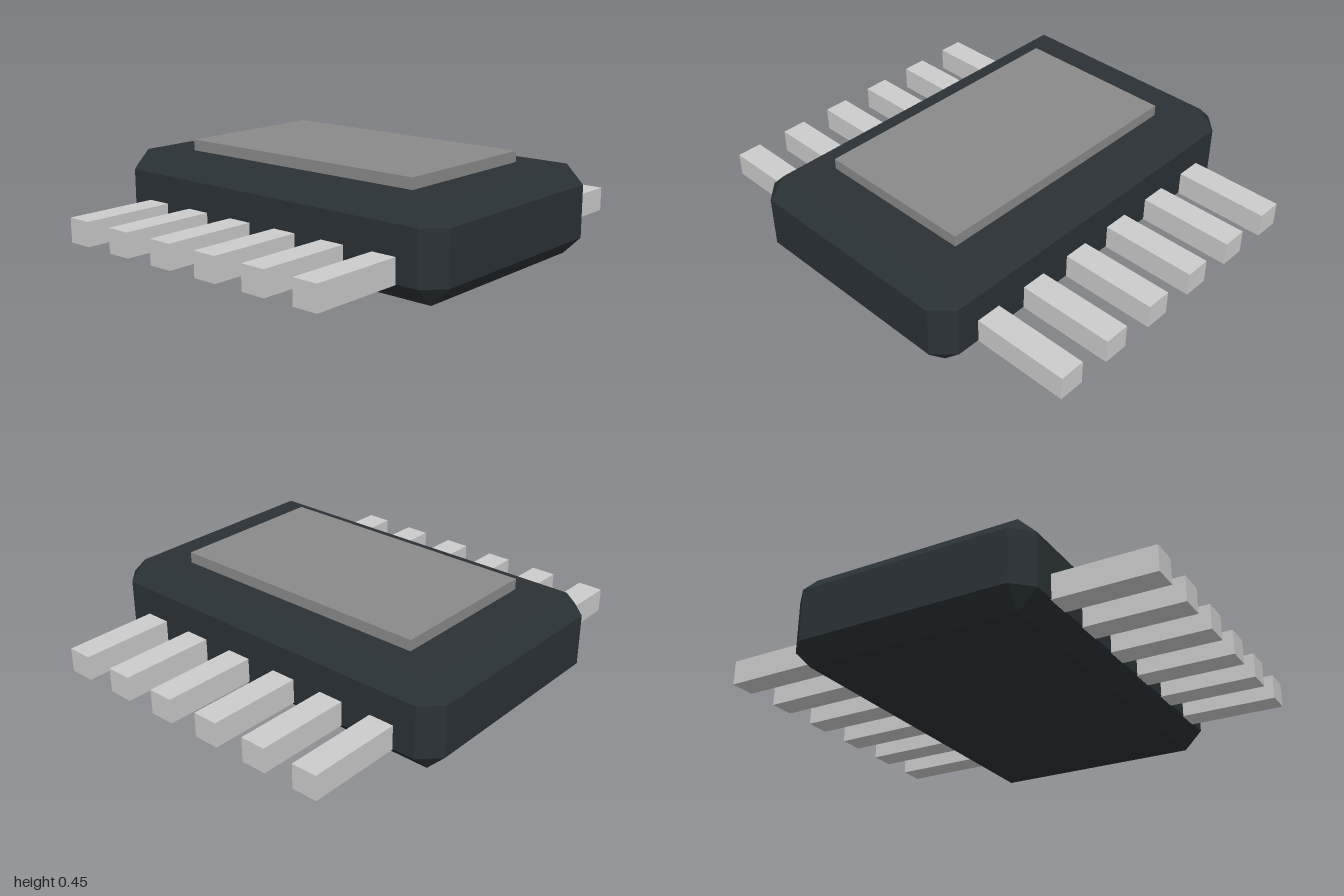
import * as THREE from 'three';
import { ConvexGeometry } from 'three/addons/geometries/ConvexGeometry.js';

// Box centred on the origin with every edge bevelled and triangular corners
function bevelledBox(w, h, d, bevel) {
  const points = [];
  for (const sx of [-1, 1]) for (const sy of [-1, 1]) for (const sz of [-1, 1]) {
    for (let axis = 0; axis < 3; axis++) {
      const p = [w, h, d].map((size, i) => size / 2 - (i === axis ? 0 : bevel));
      points.push(new THREE.Vector3(p[0] * sx, p[1] * sy, p[2] * sz));
    }
  }
  return new ConvexGeometry(points);
}

export function createModel() {
  const model = new THREE.Group();
  model.name = 'chipPackage';

  const bodyMaterial = new THREE.MeshStandardMaterial({ color: 0x2a3135, flatShading: true });
  const padMaterial = new THREE.MeshStandardMaterial({ color: 0x898989 });
  const pinMaterial = new THREE.MeshStandardMaterial({ color: 0xcccccc });

  const add = (name, geometry, material, x, y, z, parent = model) => {
    const mesh = new THREE.Mesh(geometry, material);
    mesh.name = name;
    mesh.position.set(x, y, z);
    parent.add(mesh);
  };

  // Moulded body
  add('body', bevelledBox(1.13, 0.4, 1.8, 0.083), bodyMaterial, 0, 0.2, 0);

  // Raised thermal pad, sunk slightly into the body
  add('thermalPad', new THREE.BoxGeometry(0.73, 0.07, 1.264), padMaterial, 0, 0.415, 0);

  // Six straight pins on each side, rooted inside the body
  const pinGeometry = new THREE.BoxGeometry(0.48, 0.11, 0.117);
  for (const [name, side] of [['leftPin', 1], ['rightPin', -1]]) {
    const row = new THREE.Group();
    row.name = name + 'Row';
    model.add(row);
    for (let i = 0; i < 6; i++) {
      add(name + (i + 1), pinGeometry, pinMaterial, side * 0.76, 0.135, (i - 2.5) * 0.261, row);
    }
  }

  return model;
}
